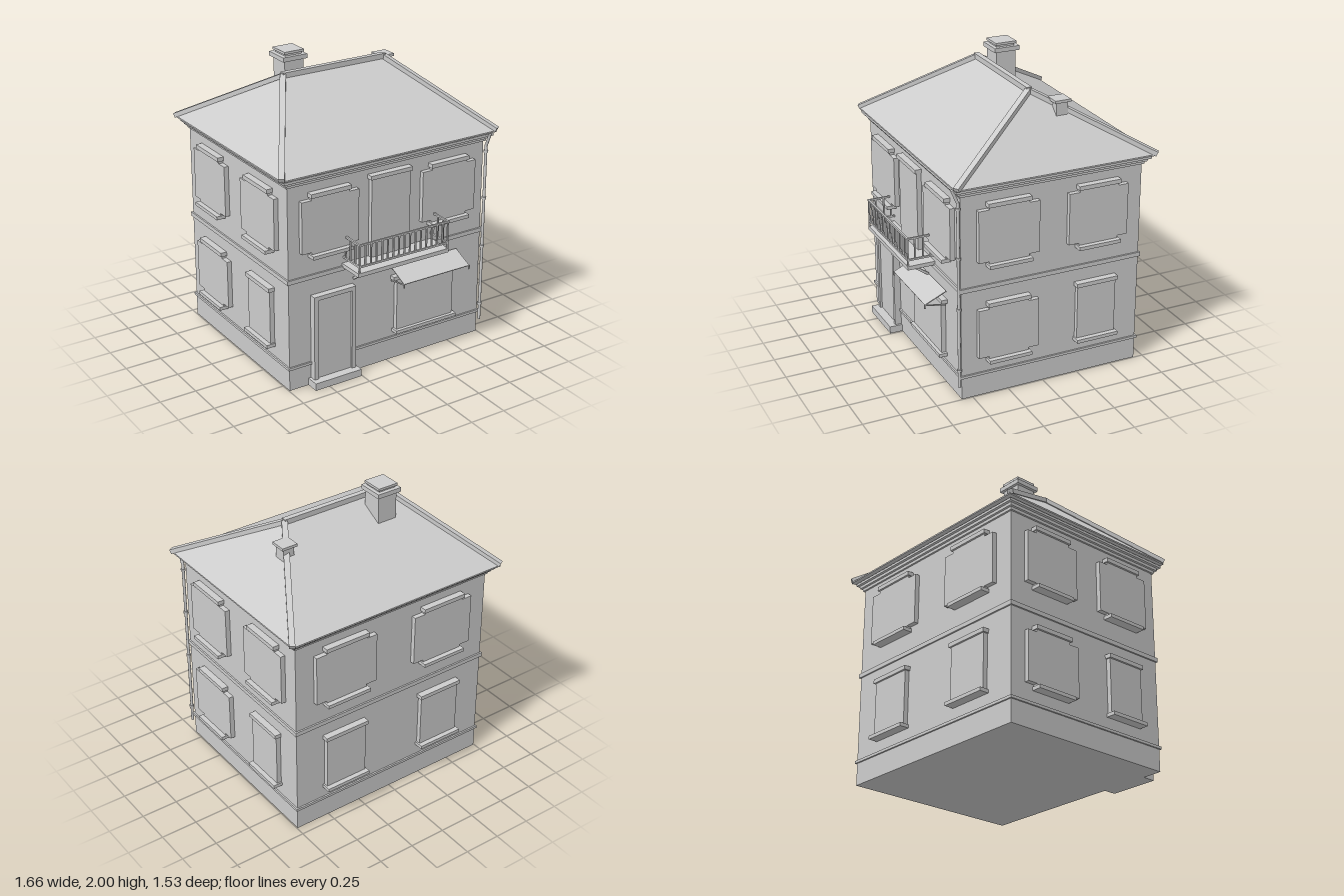
import * as THREE from 'three';
import { ConvexGeometry } from 'three/addons/geometries/ConvexGeometry.js';

const plaster = new THREE.MeshStandardMaterial({ color: 0xcccccc });
plaster.name = 'pale grey';

const CZ = -0.055; // middle of the house in depth
const HX = 0.745, HZ = 0.63; // half width and half depth of the walls

function add(parent, name, geometry) {
  const mesh = new THREE.Mesh(geometry, plaster);
  mesh.name = name;
  parent.add(mesh);
  return mesh;
}

// Box given by its limits on each axis
function box(parent, name, x0, x1, y0, y1, z0, z1) {
  const mesh = add(parent, name, new THREE.BoxGeometry(x1 - x0, y1 - y0, z1 - z0));
  mesh.position.set((x0 + x1) / 2, (y0 + y1) / 2, (z0 + z1) / 2);
  return mesh;
}

// Square bar between two points
function beam(parent, name, a, b, w, h = w) {
  const p = new THREE.Vector3(...a), q = new THREE.Vector3(...b);
  const mesh = add(parent, name, new THREE.BoxGeometry(w, h, p.distanceTo(q)));
  mesh.position.copy(p).add(q).multiplyScalar(0.5);
  mesh.lookAt(q);
  return mesh;
}

// Round pipe between two points
function pipe(parent, name, a, b, r) {
  const p = new THREE.Vector3(...a), q = new THREE.Vector3(...b);
  const mesh = add(parent, name, new THREE.CylinderGeometry(r, r, p.distanceTo(q), 10));
  mesh.position.copy(p).add(q).multiplyScalar(0.5);
  mesh.quaternion.setFromUnitVectors(new THREE.Vector3(0, 1, 0), q.sub(p).normalize());
  return mesh;
}

// Band running round the whole house
function band(parent, name, y0, y1, out) {
  box(parent, name, -HX - out, HX + out, y0, y1, CZ - HZ - out, CZ + HZ + out);
}

// Window on a wall: origin on the wall surface, +z outwards
function makeWindow(sill, top, shutters, s) {
  const g = new THREE.Group();
  g.name = shutters ? 'shutteredWindow' : 'plainWindow';
  const n = 0.138 * s, w = 0.209 * s, l = 0.148 * s;
  box(g, 'pane', -n, n, sill, top, -0.02, 0.032);
  if (shutters) {
    for (const k of [-1, 1]) {
      const a = k * n, b = k * w;
      box(g, 'shutter', Math.min(a, b), Math.max(a, b), sill + 0.015, top - 0.017, -0.02, 0.032);
    }
  }
  box(g, 'lintel', -l, l, top, top + 0.028, -0.02, 0.045);
  box(g, 'sill', -l, l, sill - 0.024, sill, -0.02, 0.065);
  return g;
}

export function createModel() {
  const house = new THREE.Group();
  house.name = 'house';

  // Walls, bands and stepped cornice
  box(house, 'walls', -HX, HX, 0, 1.46, CZ - HZ, CZ + HZ);
  band(house, 'plinthBand', 0.15, 0.168, 0.011);
  band(house, 'floorBand', 0.753, 0.782, 0.011);
  band(house, 'lowerCornice', 1.4, 1.42, 0.012);
  band(house, 'middleCornice', 1.42, 1.44, 0.027);
  band(house, 'upperCornice', 1.44, 1.457, 0.045);

  // Hipped roof with ridge and hip caps
  const roof = [];
  for (const x of [-0.81, 0.81]) {
    for (const z of [-0.755, 0.628]) {
      roof.push(new THREE.Vector3(x, 1.463, z), new THREE.Vector3(x, 1.473, z));
      beam(house, 'hipCap', [Math.sign(x) * 0.812, 1.479, z], [Math.sign(x) * 0.385, 1.871, -0.062], 0.038, 0.03);
    }
    roof.push(new THREE.Vector3(Math.sign(x) * 0.385, 1.86, -0.062));
  }
  add(house, 'roof', new ConvexGeometry(roof));
  box(house, 'ridgeCap', -0.392, 0.392, 1.855, 1.89, -0.08, -0.044);

  // Large chimney
  box(house, 'chimneyStack', -0.338, -0.198, 1.65, 1.94, -0.257, -0.117);
  box(house, 'chimneyCollar', -0.358, -0.18, 1.94, 1.97, -0.277, -0.098);
  box(house, 'chimneyNeck', -0.33, -0.206, 1.97, 1.984, -0.25, -0.124);
  box(house, 'chimneyTop', -0.341, -0.195, 1.984, 2, -0.262, -0.113);
  // Small chimney
  box(house, 'smallChimneyStack', 0.452, 0.532, 1.65, 1.812, -0.262, -0.182);
  box(house, 'smallChimneyTop', 0.437, 0.547, 1.812, 1.83, -0.277, -0.167);

  // Windows: x, z, turn, floor, shutters, width factor
  const upper = [0.932, 1.312], lower = [0.268, 0.636];
  const place = (x, z, turn, floor, shutters, s = 1) => {
    const g = makeWindow(floor[0], floor[1], shutters, s);
    g.position.set(x, 0, z);
    g.rotation.y = turn;
    house.add(g);
  };
  for (const side of [-1, 1]) {
    place(side * 0.453, CZ + HZ, 0, upper, true);
    place(side * 0.38, CZ - HZ, Math.PI, upper, true, 1.1);
    place(side * 0.38, CZ - HZ, Math.PI, lower, false, 1.1);
    const turn = side * Math.PI / 2;
    for (const k of [-1, 1]) {
      place(side * HX, CZ + side * k * 0.312, turn, upper, true);
      place(side * HX, CZ + side * k * 0.312, turn, lower, k > 0);
    }
  }

  // Front door with raised frame and step
  const F = CZ + HZ;
  box(house, 'doorStep', -0.605, -0.257, 0, 0.05, F - 0.02, 0.665);
  box(house, 'frontDoor', -0.555, -0.3, 0.05, 0.61, F - 0.02, F + 0.03);
  box(house, 'doorFrameTop', -0.585, -0.272, 0.61, 0.638, F - 0.02, F + 0.045);
  box(house, 'doorFrameSide', -0.585, -0.555, 0.05, 0.61, F - 0.02, F + 0.045);
  box(house, 'doorFrameSide', -0.3, -0.272, 0.05, 0.61, F - 0.02, F + 0.045);

  // Wide ground floor window
  box(house, 'wideWindow', 0.055, 0.505, 0.225, 0.59, F - 0.02, F + 0.032);
  box(house, 'wideWindowLintel', 0.025, 0.535, 0.588, 0.614, F - 0.02, F + 0.04);
  box(house, 'wideWindowSill', 0.04, 0.525, 0.202, 0.225, F - 0.02, F + 0.055);

  // Awning and its rods
  const awning = beam(house, 'awning', [0.282, 0.68, 0.585], [0.282, 0.615, 0.732], 0.522, 0.006);
  awning.position.y -= 0.002;
  for (const x of [0.022, 0.542]) {
    beam(house, 'awningRod', [x, 0.612, 0.732], [x, 0.585, 0.59], 0.008);
    beam(house, 'awningHook', [x, 0.618, 0.732], [x, 0.588, 0.732], 0.008);
  }

  // Balcony door, slab and brackets
  box(house, 'balconyDoor', -0.15, 0.145, 0.79, 1.335, F - 0.02, F + 0.032);
  box(house, 'balconyDoorLintel', -0.162, 0.152, 1.335, 1.362, F - 0.02, F + 0.045);
  box(house, 'balconySlab', -0.35, 0.345, 0.773, 0.8, F - 0.02, 0.762);
  for (const x of [-0.268, 0.265]) {
    beam(house, 'balconyBracket', [x, 0.775, 0.725], [x, 0.68, 0.59], 0.016);
  }

  // Balcony railing on three sides
  const R = 0.338, ZF = 0.757, ZB = 0.585;
  for (const y of [0.842, 0.989]) {
    beam(house, 'frontRail', [-R - 0.006, y, ZF], [R + 0.006, y, ZF], 0.012);
    for (const x of [-R, R]) beam(house, 'sideRail', [x, y, ZB - 0.01], [x, y, ZF], 0.012);
  }
  const baluster = (x, z, foot = 0.842) =>
    box(house, 'baluster', x - 0.005, x + 0.005, foot, 0.989, z - 0.005, z + 0.005);
  const count = 16;
  for (let i = 0; i <= count; i++) {
    baluster(-R + 2 * R * i / count, ZF, i % count ? 0.842 : 0.798);
  }
  for (const x of [-R, R]) for (const z of [0.602, 0.652, 0.708]) baluster(x, z);

  // Rainwater pipe on the front corner
  const px = 0.755, pz = 0.594;
  pipe(house, 'downpipe', [px, 0.1, pz], [px, 1.375, pz], 0.01);
  pipe(house, 'downpipeElbow', [px, 1.368, pz], [px, 1.46, 0.632], 0.01);
  for (const y of [0.22, 0.65, 1.0, 1.33]) {
    pipe(house, 'downpipeClip', [px, y - 0.008, pz], [px, y + 0.008, pz], 0.016);
  }
  return house;
}
